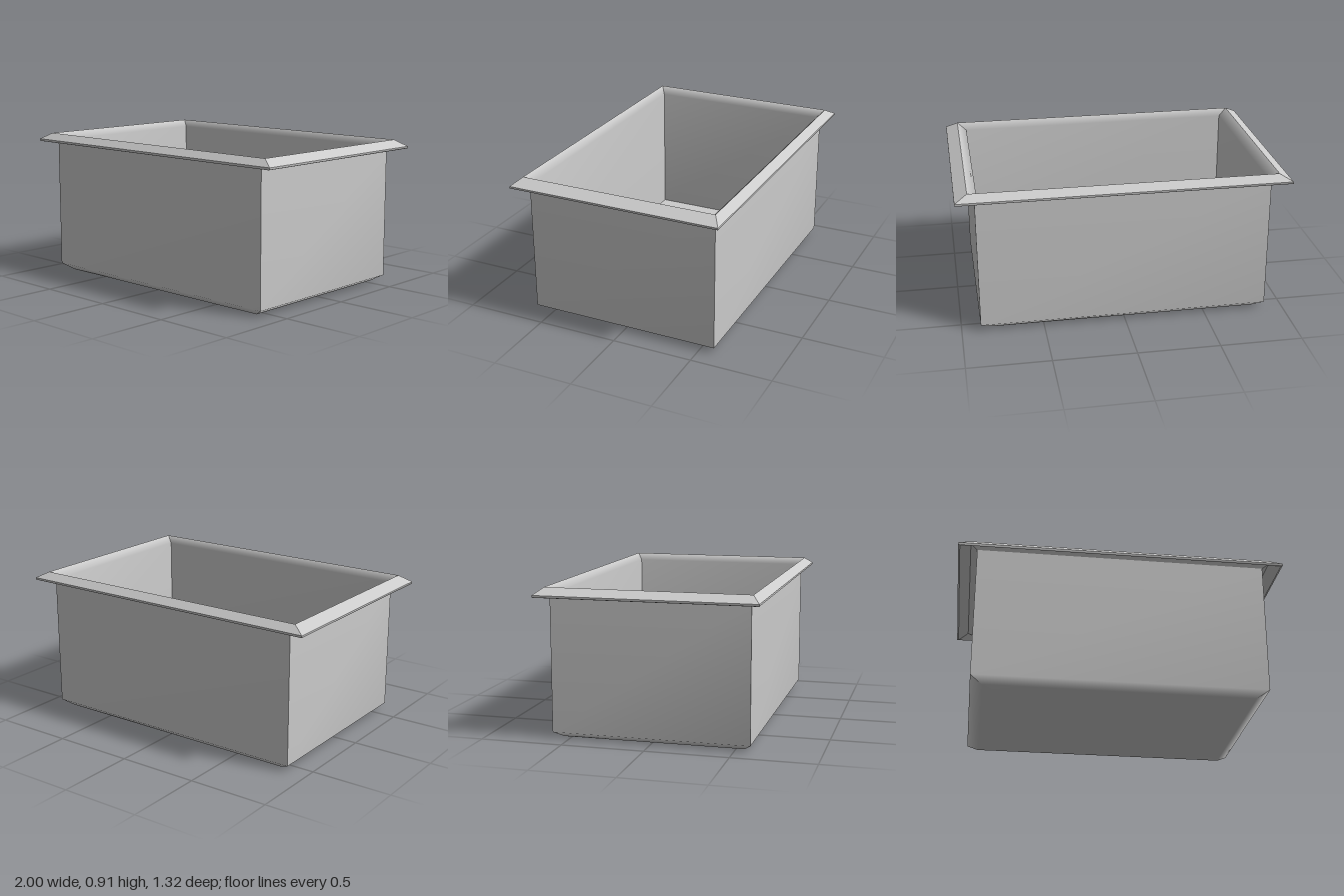
import * as THREE from 'three';
import { mergeGeometries } from 'three/addons/utils/BufferGeometryUtils.js';

// Carries a profile of [halfX, halfZ, y] points round a rectangle with mitred corners.
// Shading is smooth along the profile and sharp at the mitres.
function rectangularSweep(profile) {
  const sides = [];
  for (let k = 0; k < 4; k++) {
    const positions = [];
    const index = [];
    profile.forEach(([hx, hz, y], i) => {
      const [half, dist] = k % 2 ? [hz, hx] : [hx, hz];
      positions.push(-half, y, dist, half, y, dist);
      if (i > 0) {
        const a = 2 * (i - 1), b = 2 * i;
        index.push(a, a + 1, b + 1, a, b + 1, b);
      }
    });
    const side = new THREE.BufferGeometry();
    side.setAttribute('position', new THREE.Float32BufferAttribute(positions, 3));
    side.setIndex(index);
    side.computeVertexNormals();
    side.rotateY(k * Math.PI / 2);
    sides.push(side);
  }
  return mergeGeometries(sides);
}

export function createModel() {
  const group = new THREE.Group();
  const material = new THREE.MeshStandardMaterial({ color: 0xcccccc });
  const add = (name, ...runs) => {
    const mesh = new THREE.Mesh(mergeGeometries(runs.map(rectangularSweep)), material);
    mesh.name = name;
    group.add(mesh);
  };

  const wallTop = [0.885, 0.596, 0.865];
  const fold = [0.925, 0.614, 0.893];
  const lipBottom = [0.99, 0.655, 0.857];
  const lipEdgeLow = [1, 0.66, 0.86];
  const lipEdge = [1, 0.66, 0.872];
  const ridge = [0.925, 0.613, 0.912];
  const innerFloorEdge = [0.869, 0.573, 0.04];

  // Underside with bevelled bottom edge, and outer walls
  add('outerShell', [[0.27, 0, 0], [0.815, 0.548, 0], [0.885, 0.596, 0.04], wallTop]);

  // Folded sheet rim: hollow underside, thin lip and sloping top
  add('rim', [wallTop, fold], [fold, lipBottom], [lipBottom, lipEdgeLow, lipEdge], [lipEdge, ridge]);

  // Bevelled inner edge and inner walls
  add('innerWalls', [ridge, [0.869, 0.573, 0.87], innerFloorEdge]);

  // Inside floor
  add('innerFloor', [innerFloorEdge, [0.27, 0, 0.04]]);

  return group;
}
